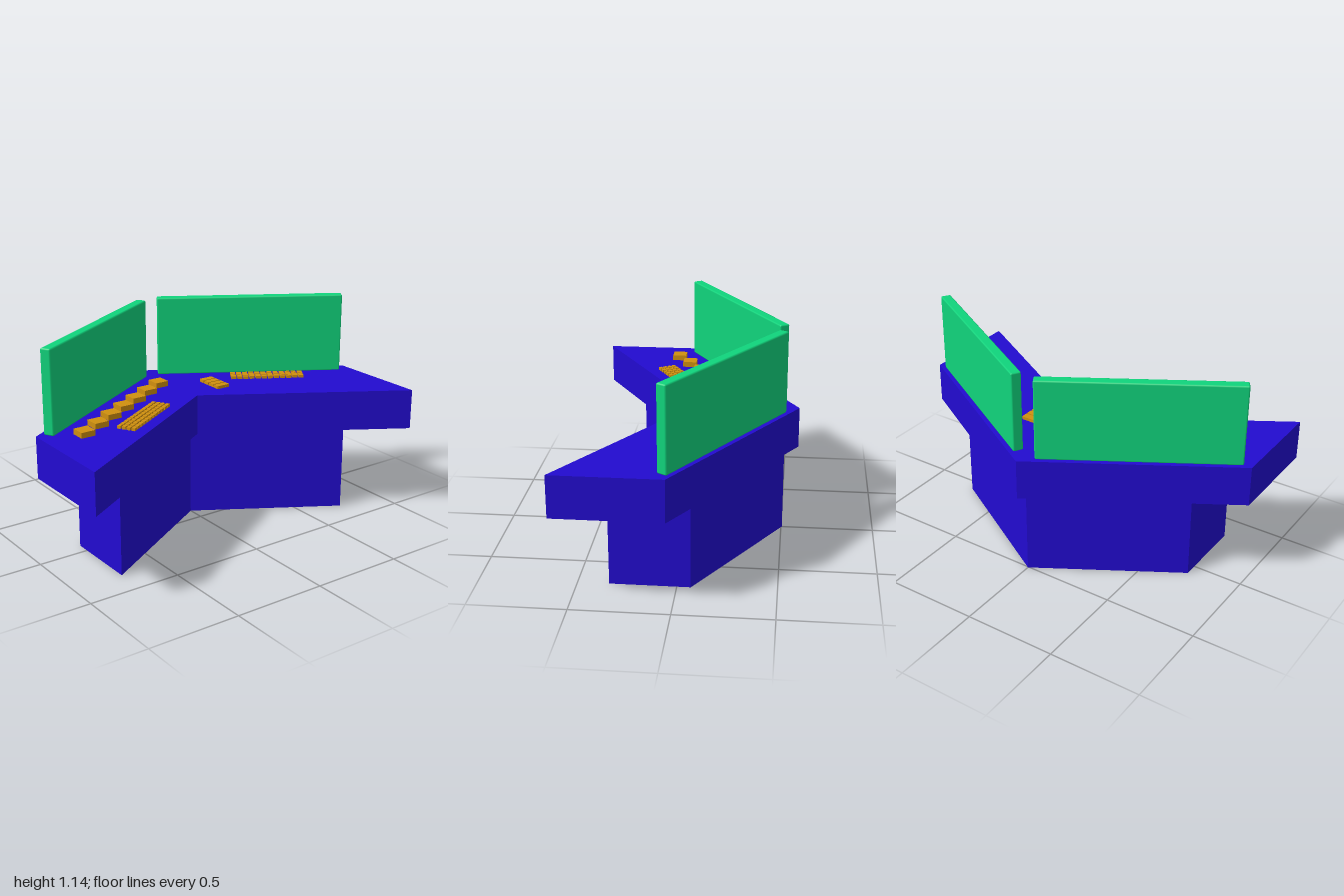
import * as THREE from 'three';
import { RoundedBoxGeometry } from 'three/addons/geometries/RoundedBoxGeometry.js';

const mat = (name, color) => {
  const m = new THREE.MeshStandardMaterial({ color });
  m.name = name;
  return m;
};

export function createModel() {
  const blue = mat('deskBlue', 0x220bd0);
  const green = mat('screenGreen', 0x10d47c);
  const amber = mat('keyAmber', 0xd0900f);
  const model = new THREE.Group();
  model.name = 'cornerConsole';
  const TOP = 0.7;
  const WING = Math.atan(0.6); // angle of each wing away from the z axis

  const add = (parent, name, geometry, material, x = 0, y = 0, z = 0) => {
    const mesh = new THREE.Mesh(geometry, material);
    mesh.name = name;
    mesh.position.set(x, y, z);
    parent.add(mesh);
    return mesh;
  };

  // V-shaped slab: back corner, wing ends and inner corner
  const chevron = (back, inner, endBack, endFront, halfZ, height) => {
    const shape = new THREE.Shape([
      [back, 0], [endBack, -halfZ], [endFront, -halfZ],
      [inner, 0], [endFront, halfZ], [endBack, halfZ],
    ].map(([x, y]) => new THREE.Vector2(x, y)));
    return new THREE.ExtrudeGeometry(shape, { depth: height, bevelEnabled: false }).rotateX(-Math.PI / 2);
  };
  add(model, 'pedestal', chevron(-0.505, -0.095, -0.07, 0.34, 0.727, 0.485), blue);
  add(model, 'desktop', chevron(-0.58, -0.03, 0.022, 0.578, 1, 0.22), blue, 0, 0.48);

  // Upright screens, one along each wing
  for (const side of [-1, 1]) {
    const screen = add(model, side > 0 ? 'frontScreen' : 'backScreen',
      new RoundedBoxGeometry(0.056, 0.442, 1.04, 1, 0.008), green, -0.222, 0.919, side * 0.497);
    screen.rotation.y = side * WING;
  }

  // Keyboards: four rows of small keys following the wing
  const keyGeometry = new THREE.BoxGeometry(0.019, 0.016, 0.027);
  const keyboard = (name, x, z, side, pitch) => {
    const group = new THREE.Group();
    group.name = name;
    group.position.set(x, TOP + 0.007, z);
    group.rotation.y = side * WING;
    for (let row = 0; row < 4; row++) {
      for (let col = 0; col < 12; col++) {
        add(group, 'key', keyGeometry, amber, (row - 1.5) * pitch, 0, (col - 5.5) * 0.0345);
      }
    }
    model.add(group);
  };
  keyboard('backKeyboard', -0.08, -0.515, -1, 0.022);
  keyboard('frontKeyboard', 0.093, 0.42, 1, 0.027);

  // Row of square buttons in front of one screen
  const buttonGeometry = new THREE.BoxGeometry(0.078, 0.03, 0.078);
  for (let i = 0; i < 7; i++) {
    add(model, 'button', buttonGeometry, amber, -0.295 + i * 0.0722, TOP + 0.014, 0.075 + i * 0.12);
  }

  // Small switch block: four bars on a thin plate
  const switches = new THREE.Group();
  switches.name = 'switchBlock';
  switches.position.set(-0.135, TOP, -0.19);
  add(switches, 'switchPlate', new THREE.BoxGeometry(0.168, 0.008, 0.076), amber, 0, 0.003);
  for (let i = 0; i < 4; i++) {
    add(switches, 'switchBar', new THREE.BoxGeometry(0.036, 0.016, 0.078), amber, (i - 1.5) * 0.0435, 0.008);
  }
  model.add(switches);

  return model;
}
